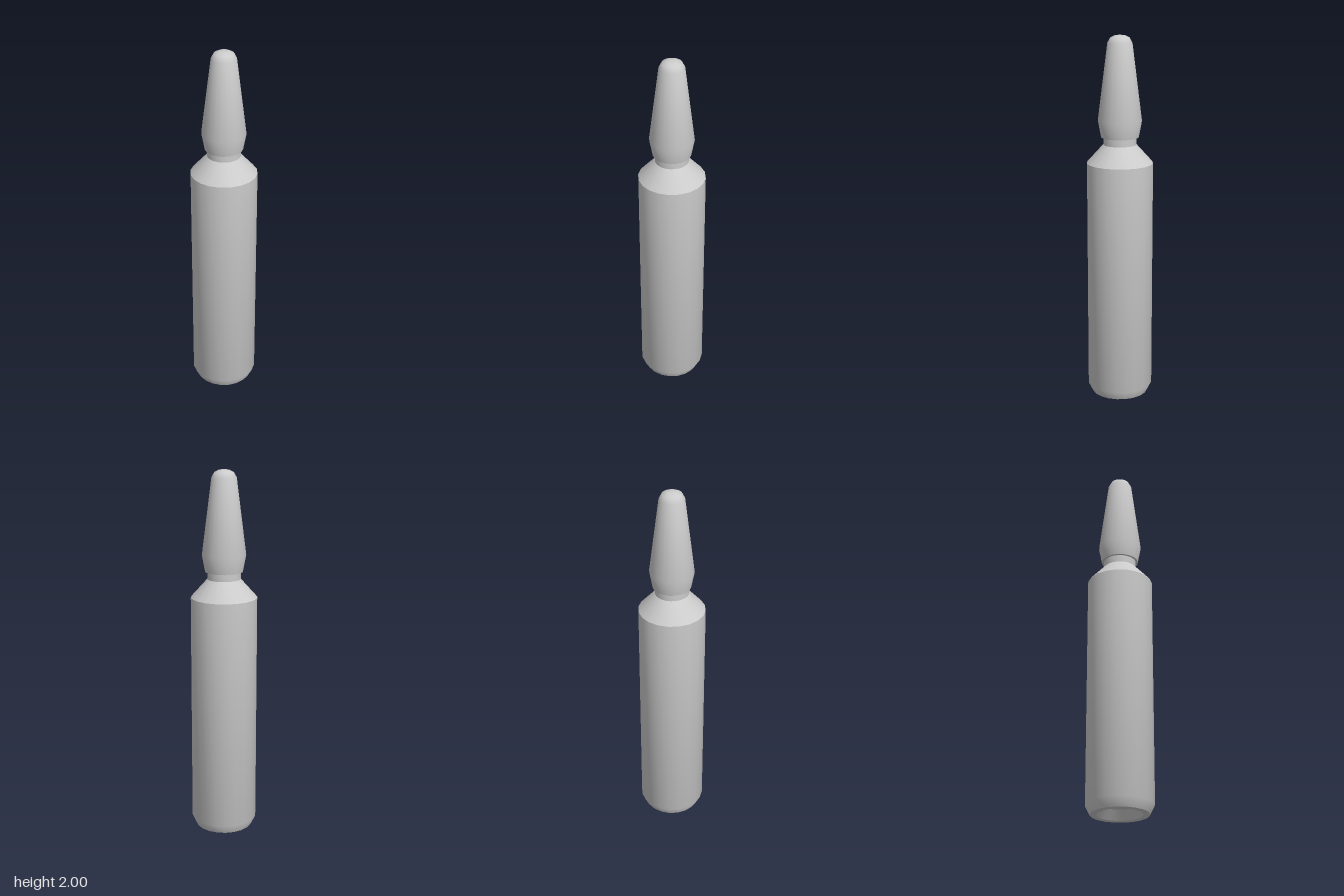
import * as THREE from 'three';
import { toCreasedNormals } from 'three/addons/utils/BufferGeometryUtils.js';

const SIDES = 20;
const CREASE = THREE.MathUtils.degToRad(38);

// Turned part from [radius, height] pairs, listed bottom to top
function turned(name, profile, material) {
  const points = profile.map(([r, y]) => new THREE.Vector2(r, y));
  const mesh = new THREE.Mesh(toCreasedNormals(new THREE.LatheGeometry(points, SIDES), CREASE), material);
  mesh.name = name;
  return mesh;
}

export function createModel() {
  const group = new THREE.Group();
  group.name = 'ampoule';
  const material = new THREE.MeshStandardMaterial({ color: 0xcccccc });

  // Body: recessed base, chamfered foot, straight wall, sloped shoulder
  group.add(turned('body', [
    [0, 0.05], [0.085, 0.05], [0.12, 0], [0.155, 0],
    [0.18, 0.05], [0.18, 1.32], [0.09, 1.42],
  ], material));

  // Narrow snap-off neck
  group.add(turned('neck', [[0.09, 1.42], [0.09, 1.46]], material));

  // Tapered tip with a flared lower edge and rounded end
  group.add(turned('tip', [
    [0.09, 1.46], [0.102, 1.46], [0.119, 1.55],
    [0.067, 1.96], [0.052, 1.988], [0.027, 2], [0, 2],
  ], material));

  return group;
}
